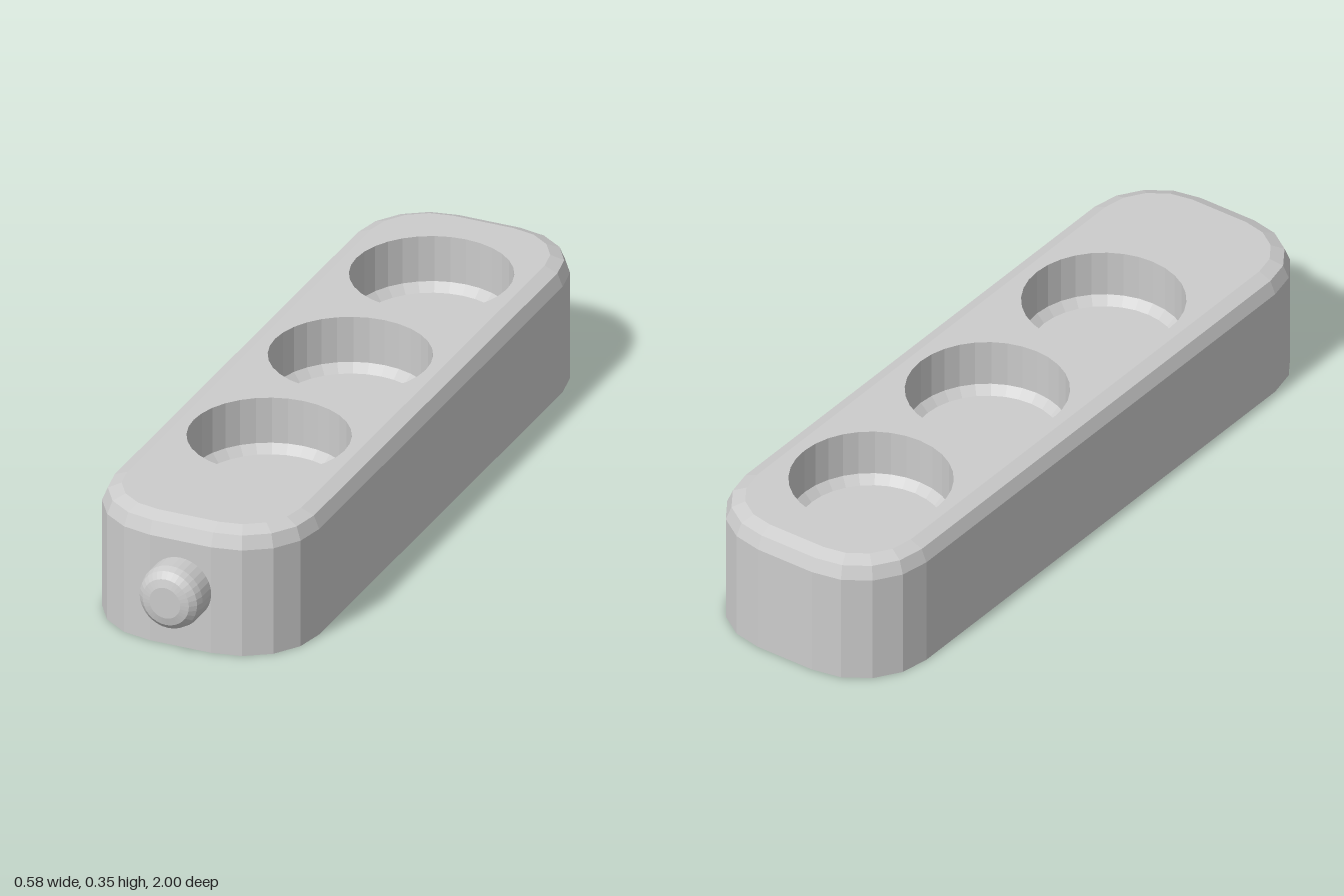
import * as THREE from 'three';

const HALF_W = 0.2925, HALF_L = 0.9525, CORNER = 0.2075, BODY_Z = -0.0475;
const SIDES = 32, HOLE_R = 0.21, TOP = 0.35, FLOOR = 0.2;

// Rounded-rectangle outline, drawn inwards by inset (4 segments per corner)
function outline(inset) {
  const pts = [];
  for (let q = 0; q < 4; q++) {
    const cx = (q === 0 || q === 3 ? 1 : -1) * (HALF_W - CORNER);
    const cy = (q < 2 ? 1 : -1) * (HALF_L - CORNER);
    for (let i = 0; i <= 4; i++) {
      const a = (q + i / 4) * Math.PI / 2;
      pts.push(new THREE.Vector2(cx + (CORNER - inset) * Math.cos(a), cy + (CORNER - inset) * Math.sin(a)));
    }
  }
  return pts;
}

function circle(cy, r) {
  return Array.from({ length: SIDES }, (_, i) => {
    const a = i / SIDES * Math.PI * 2;
    return new THREE.Vector2(r * Math.cos(a), cy + r * Math.sin(a));
  });
}

// Side skin through the outlines given as [inset, height]
function skin(levels) {
  const pos = [], idx = [];
  const n = outline(0).length;
  for (const [inset, y] of levels) for (const p of outline(inset)) pos.push(p.x, y, -p.y);
  for (let l = 0; l < levels.length - 1; l++) {
    for (let i = 0; i < n; i++) {
      const a = l * n + i, b = l * n + (i + 1) % n;
      idx.push(a, b, b + n, a, b + n, a + n);
    }
  }
  const g = new THREE.BufferGeometry();
  g.setAttribute('position', new THREE.Float32BufferAttribute(pos, 3));
  g.setIndex(idx);
  g.computeVertexNormals();
  return g;
}

export function createModel() {
  const model = new THREE.Group();
  model.name = 'threeWellBlock';
  const material = new THREE.MeshStandardMaterial({ color: 0xcccccc, flatShading: true });
  const add = (name, geometry, parent) => {
    const mesh = new THREE.Mesh(geometry, material);
    mesh.name = name;
    parent.add(mesh);
    return mesh;
  };
  const lathe = (pts) => new THREE.LatheGeometry(pts.map(([x, y]) => new THREE.Vector2(x, y)), SIDES);

  const body = new THREE.Group();
  body.name = 'body';
  body.position.z = BODY_Z;
  model.add(body);

  // Walls with a two-step rounded upper edge
  add('walls', skin([[0, 0], [0, 0.3], [0.0146, 0.3354], [0.05, TOP]]), body);

  // Top plate with three round openings, and flat base
  const wellZ = [-0.585, -0.088, 0.409];
  const plate = new THREE.Shape(outline(0.05));
  for (const z of wellZ) plate.holes.push(new THREE.Path(circle(-z, HOLE_R)));
  add('topPlate', new THREE.ShapeGeometry(plate).rotateX(-Math.PI / 2).translate(0, TOP, 0), body);
  add('base', new THREE.ShapeGeometry(new THREE.Shape(outline(0))).rotateX(Math.PI / 2), body);

  // Wells: straight wall, chamfer, flat floor
  const well = lathe([[HOLE_R, TOP], [HOLE_R, FLOOR + 0.022], [HOLE_R - 0.022, FLOOR], [0, FLOOR]]);
  for (const z of wellZ) add('well', well, body).position.z = z;

  // Round button on the front end
  const r = 0.086, round = 0.043, profile = [[r, 0.88]];
  for (let i = 0; i <= 3; i++) {
    const a = i * Math.PI / 6;
    profile.push([r - round + round * Math.cos(a), 1 - round + round * Math.sin(a)]);
  }
  profile.push([0, 1]);
  add('button', lathe(profile).rotateX(Math.PI / 2), model).position.y = 0.167;

  return model;
}
